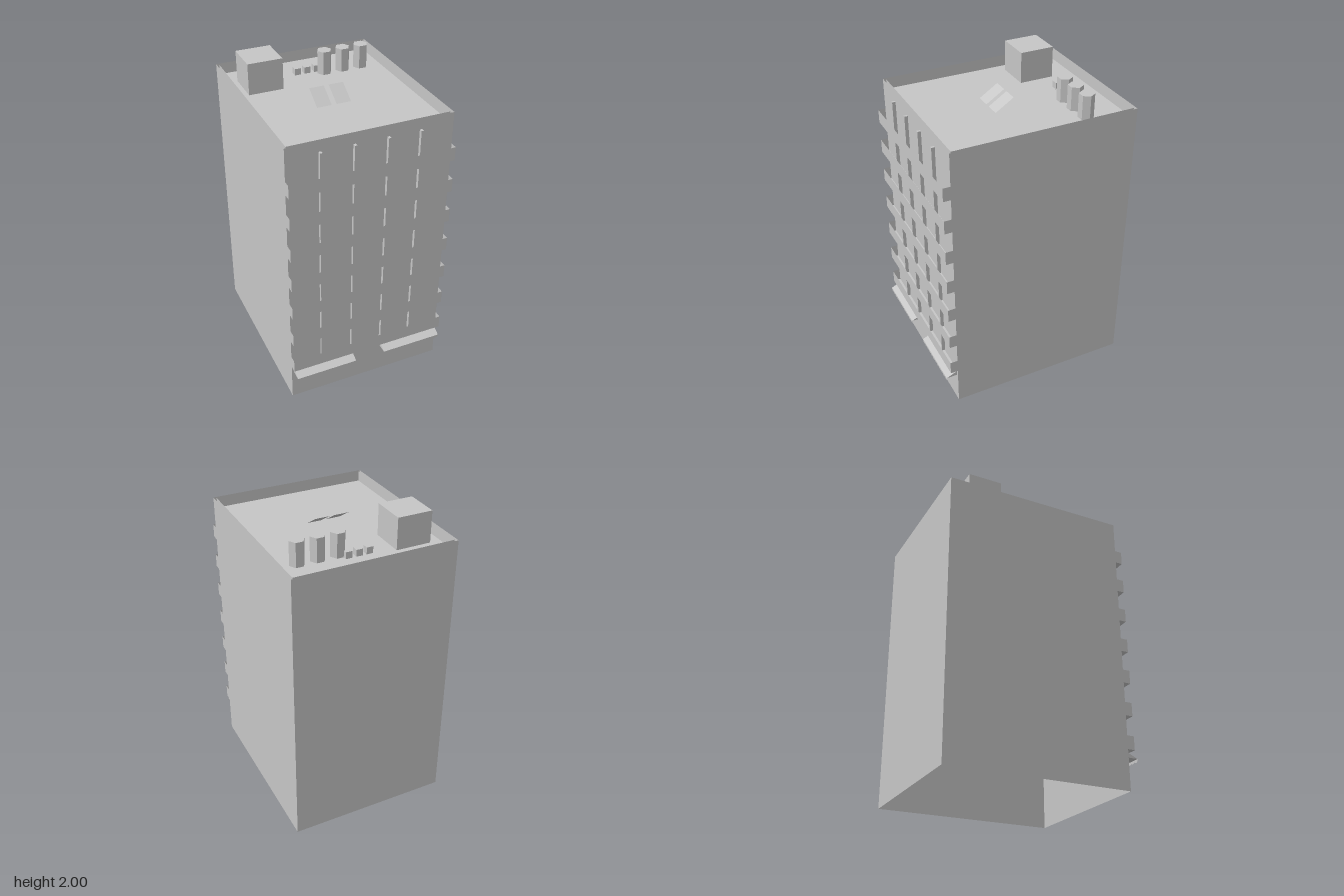
import * as THREE from 'three';

const concrete = new THREE.MeshStandardMaterial({ color: 0xc6c6c6, side: THREE.DoubleSide, flatShading: true });
concrete.name = 'concrete grey';

const SIDES = ['right', 'left', 'top', 'bottom', 'front', 'back'];

// Box given by its limits; only the listed faces are kept
function box(x0, x1, y0, y1, z0, z1, keep = SIDES) {
  const g = new THREE.BoxGeometry(x1 - x0, y1 - y0, z1 - z0);
  g.translate((x0 + x1) / 2, (y0 + y1) / 2, (z0 + z1) / 2);
  const all = Array.from(g.index.array);
  g.setIndex(keep.flatMap((s) => all.slice(SIDES.indexOf(s) * 6, SIDES.indexOf(s) * 6 + 6)));
  g.clearGroups();
  return g;
}

export function createModel() {
  const model = new THREE.Group();
  model.name = 'apartmentBlock';
  const add = (parent, name, geometry) => {
    const m = new THREE.Mesh(geometry, concrete);
    m.name = name;
    parent.add(m);
    return m;
  };
  const group = (name) => {
    const g = new THREE.Group();
    g.name = name;
    model.add(g);
    return g;
  };

  const W = 0.526, TOP = 1.862, ROOF = 1.796, FRONT = 0.564, BACK = -0.637, RIM = 0.016;

  // Outer walls, open below, and the sunken roof with its parapet lining
  add(model, 'outerWalls', box(-W, W, 0, TOP, BACK, FRONT, ['right', 'left', 'front', 'back']));
  add(model, 'roofAndParapet', box(-W + RIM, W - RIM, ROOF, TOP, BACK + RIM, FRONT - RIM,
    ['right', 'left', 'bottom', 'front', 'back']));

  // Balconies: open troughs across the facade
  const balconies = group('balconies');
  for (let i = 0; i < 7; i++) {
    const y = 0.26 + i * 0.2178;
    add(balconies, 'balcony', box(-W, W, y, y + 0.088, FRONT, 0.612, ['right', 'left', 'bottom', 'front']));
  }

  // Vertical ribs between the windows bays
  const ribs = group('facadeRibs');
  for (const x of [-0.318, -0.108, 0.103, 0.311]) {
    add(ribs, 'rib', box(x - 0.008, x + 0.008, 0.27, 1.797, FRONT, 0.586));
  }

  // Awnings: sloped wedge with a scalloped valance
  const awnings = group('awnings');
  const A = 0.205, scallops = 12, step = (2 * A) / scallops;
  const wedge = new THREE.Shape([[FRONT, 0.245], [0.637, 0.212], [FRONT, 0.212]]
    .map(([z, y]) => new THREE.Vector2(-z, y)));
  const valance = new THREE.Shape();
  valance.moveTo(-A, 0.212);
  valance.lineTo(-A, 0.2);
  for (let i = 0; i < scallops; i++) {
    const x = -A + i * step;
    valance.quadraticCurveTo(x + step / 2, 0.184, x + step, 0.2);
  }
  valance.lineTo(A, 0.212);
  for (const x of [-0.308, 0.306]) {
    const canopy = new THREE.ExtrudeGeometry(wedge, { depth: 2 * A, bevelEnabled: false });
    canopy.rotateY(Math.PI / 2).translate(x - A, 0, 0);
    add(awnings, 'canopy', canopy);
    add(awnings, 'valance', new THREE.ShapeGeometry(valance, 4).translate(x, 0, 0.637));
  }

  // Stair house
  add(model, 'stairHouse', box(-0.44, -0.213, ROOF, 2, -0.477, -0.251));

  // Hexagonal water tanks
  const tanks = group('waterTanks');
  for (const x of [0.119, 0.246, 0.374]) {
    const h = 1.95 - ROOF;
    add(tanks, 'tank', new THREE.CylinderGeometry(0.048, 0.048, h, 6, 1, false, Math.PI / 2)
      .translate(x, ROOF + h / 2, -0.378));
  }

  // Small vent boxes
  const vents = group('ventBoxes');
  for (const x of [-0.054, 0.013, 0.08]) {
    add(vents, 'ventBox', box(x - 0.021, x + 0.021, ROOF, ROOF + 0.043, -0.446, -0.405));
  }

  // Tilted solar panels facing the front
  const panels = group('solarPanels');
  const rise = 0.077, run = 0.12;
  for (const x of [-0.079, 0.049]) {
    add(panels, 'solarPanel', new THREE.PlaneGeometry(0.096, Math.hypot(rise, run))
      .rotateX(-Math.atan2(run, rise))
      .translate(x, ROOF + 0.002 + rise / 2, 0.02));
  }

  return model;
}
